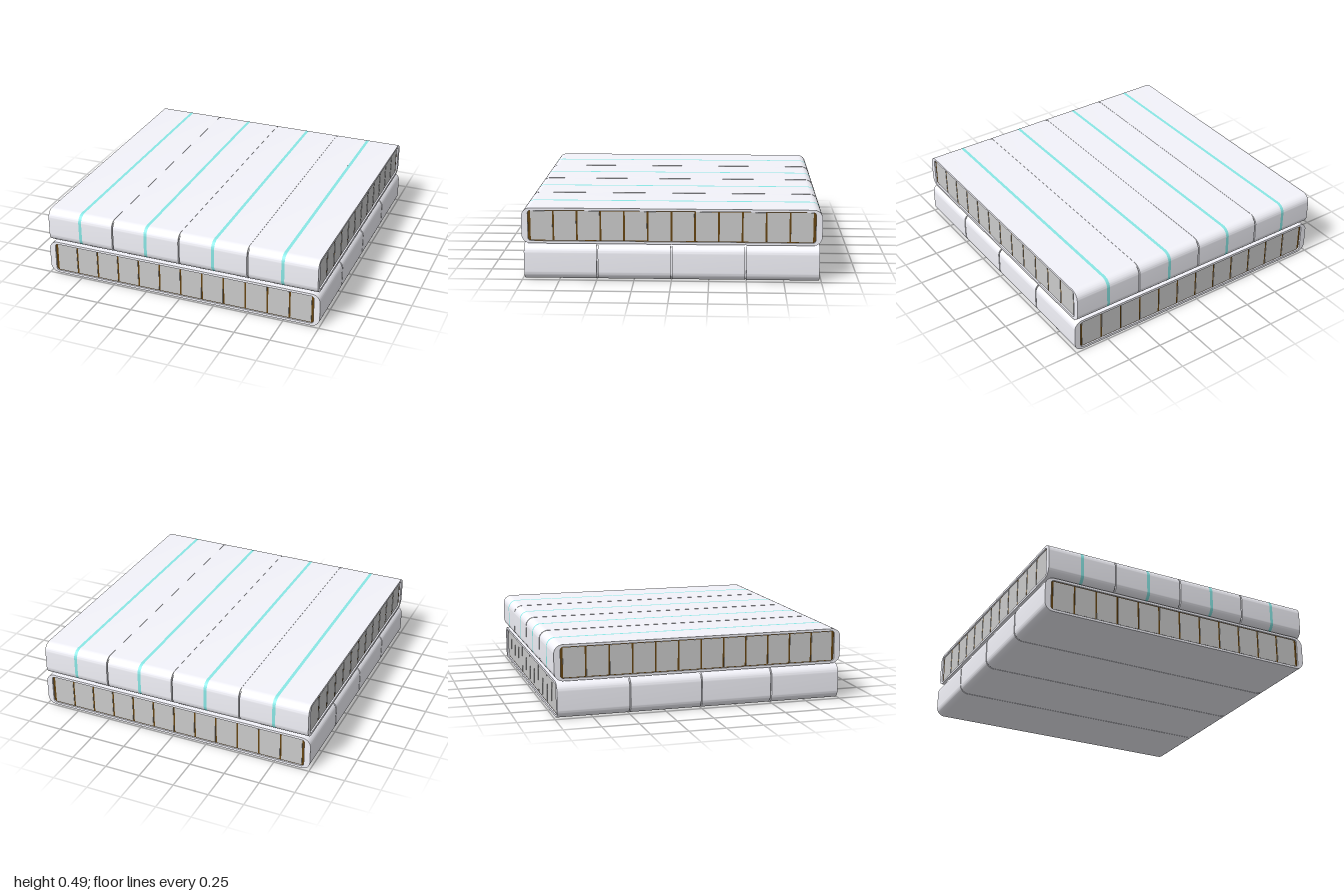
import * as THREE from 'three';
import { toCreasedNormals } from 'three/addons/utils/BufferGeometryUtils.js';

const MODULES = 4, CELLS = 12;
const WIDTH = 2, HEIGHT = 0.242, LENGTH = 0.486, PITCH = 0.495;
const WINDOW_W = 1.914, WINDOW_H = 0.208, BAND = 0.022;

const mat = (color) => new THREE.MeshStandardMaterial({ color });

// Rounded rectangle centred on the origin
function roundedRect(w, h, r, Type = THREE.Shape) {
  const s = new Type(), x = w / 2, y = h / 2;
  s.moveTo(-x + r, -y);
  s.lineTo(x - r, -y);
  s.absarc(x - r, -y + r, r, -Math.PI / 2, 0);
  s.lineTo(x, y - r);
  s.absarc(x - r, y - r, r, 0, Math.PI / 2);
  s.lineTo(-x + r, y);
  s.absarc(-x + r, y - r, r, Math.PI / 2, Math.PI);
  s.lineTo(-x, -y + r);
  s.absarc(-x + r, -y + r, r, Math.PI, Math.PI * 1.5);
  return s;
}

// Extrusion centred along z
function extrude(shape, depth) {
  const g = new THREE.ExtrudeGeometry(shape, { depth, bevelEnabled: false, curveSegments: 10 });
  g.translate(0, 0, -depth / 2);
  return toCreasedNormals(g, 0.6);
}

// Hollow sleeve with the window cut through it
function sleeve(depth) {
  const shape = roundedRect(WIDTH, HEIGHT, 0.06);
  shape.holes.push(roundedRect(WINDOW_W, WINDOW_H, 0.02, THREE.Path));
  return extrude(shape, depth);
}

export function createModel() {
  const model = new THREE.Group();
  const shellMat = mat(0xf4f4fb), cellMat = mat(0xcccccc);
  const coreMat = mat(0x664410), bandMat = mat(0x8ae8e6);

  const halfLength = (LENGTH - BAND) / 2;
  const shellGeo = sleeve(LENGTH), halfGeo = sleeve(halfLength), bandGeo = sleeve(BAND);
  const coreGeo = new THREE.BoxGeometry(WINDOW_W, WINDOW_H, LENGTH - 0.022);
  const cellPitch = 1.89 / CELLS;
  const cellGeo = new THREE.BoxGeometry(cellPitch - 0.012, WINDOW_H - 0.01, LENGTH - 0.016);
  const jointGeo = extrude(roundedRect(WIDTH - 0.04, HEIGHT - 0.004, 0.045), PITCH - LENGTH);

  const add = (parent, name, geo, material, x = 0, z = 0) => {
    const m = new THREE.Mesh(geo, material);
    m.name = name;
    m.position.set(x, 0, z);
    parent.add(m);
  };

  // One module: sleeve, brown core and a row of cells showing at both ends
  function makeModule(banded) {
    const g = new THREE.Group();
    g.name = 'module';
    if (banded) {
      // Flush colour band between two sleeve halves
      add(g, 'band', bandGeo, bandMat);
      for (const s of [-1, 1]) add(g, 'shellHalf', halfGeo, shellMat, 0, s * (halfLength + BAND) / 2);
    } else {
      add(g, 'shell', shellGeo, shellMat);
    }
    add(g, 'core', coreGeo, coreMat);
    for (let i = 0; i < CELLS; i++) {
      add(g, 'cell', cellGeo, cellMat, (i - (CELLS - 1) / 2) * cellPitch);
    }
    return g;
  }

  // Two crossed layers; only the upper one carries the bands
  for (const upper of [false, true]) {
    const layer = new THREE.Group();
    layer.name = upper ? 'upperLayer' : 'lowerLayer';
    for (let i = 0; i < MODULES; i++) {
      const m = makeModule(upper);
      m.position.z = (i - (MODULES - 1) / 2) * PITCH;
      layer.add(m);
      // Recessed joint plate filling the seam to the next module
      if (i < MODULES - 1) add(layer, 'joint', jointGeo, shellMat, 0, m.position.z + PITCH / 2);
    }
    layer.position.y = HEIGHT / 2 + (upper ? 0.249 : 0);
    if (upper) layer.rotation.y = Math.PI / 2;
    model.add(layer);
  }
  return model;
}
